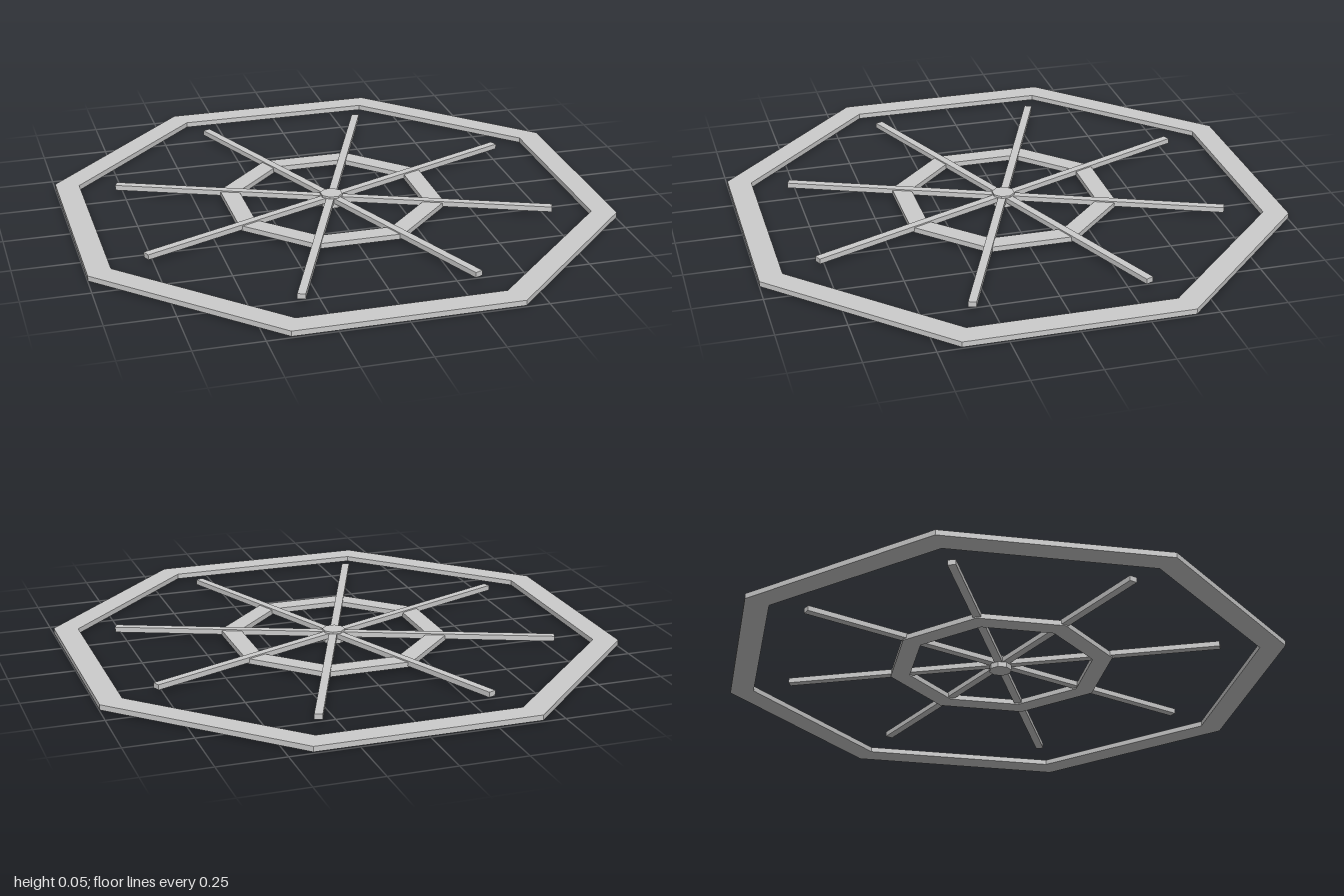
import * as THREE from 'three';

const SIDES = 8;
const HALF = Math.PI / SIDES;

// Corners of an octagon with flat sides facing the axes, given its apothem
function octagon(apothem) {
  const r = apothem / Math.cos(HALF);
  return Array.from({ length: SIDES }, (_, i) => {
    const a = HALF + i * 2 * HALF;
    return new THREE.Vector2(r * Math.cos(a), r * Math.sin(a));
  });
}

// Flat octagonal plate (with an optional hole) lying between y0 and y1
function plate(name, material, outer, inner, y0, y1) {
  const shape = new THREE.Shape(octagon(outer));
  if (inner) shape.holes.push(new THREE.Path(octagon(inner).reverse()));
  const geometry = new THREE.ExtrudeGeometry(shape, { depth: y1 - y0, bevelEnabled: false });
  geometry.rotateX(-Math.PI / 2).translate(0, y0, 0);
  const mesh = new THREE.Mesh(geometry, material);
  mesh.name = name;
  return mesh;
}

export function createModel() {
  const material = new THREE.MeshStandardMaterial({ color: 0xcccccc, flatShading: true });
  const model = new THREE.Group();
  model.name = 'octagonalWheel';

  // Rings and hub
  model.add(plate('outerRing', material, 1, 0.912, 0.005, 0.025));
  model.add(plate('innerRing', material, 0.4, 0.33, 0.015, 0.035));
  model.add(plate('hub', material, 0.04, 0, 0, 0.048));

  // Spokes run from the hub through the corners of the inner ring
  const length = 0.84;
  const spokeGeometry = new THREE.BoxGeometry(length, 0.02, 0.03).translate(length / 2, 0.03, 0);
  const spokes = new THREE.Group();
  spokes.name = 'spokes';
  for (let i = 0; i < SIDES; i++) {
    const spoke = new THREE.Mesh(spokeGeometry, material);
    spoke.name = `spoke${i + 1}`;
    spoke.rotation.y = HALF + i * 2 * HALF;
    spokes.add(spoke);
  }
  model.add(spokes);
  return model;
}
